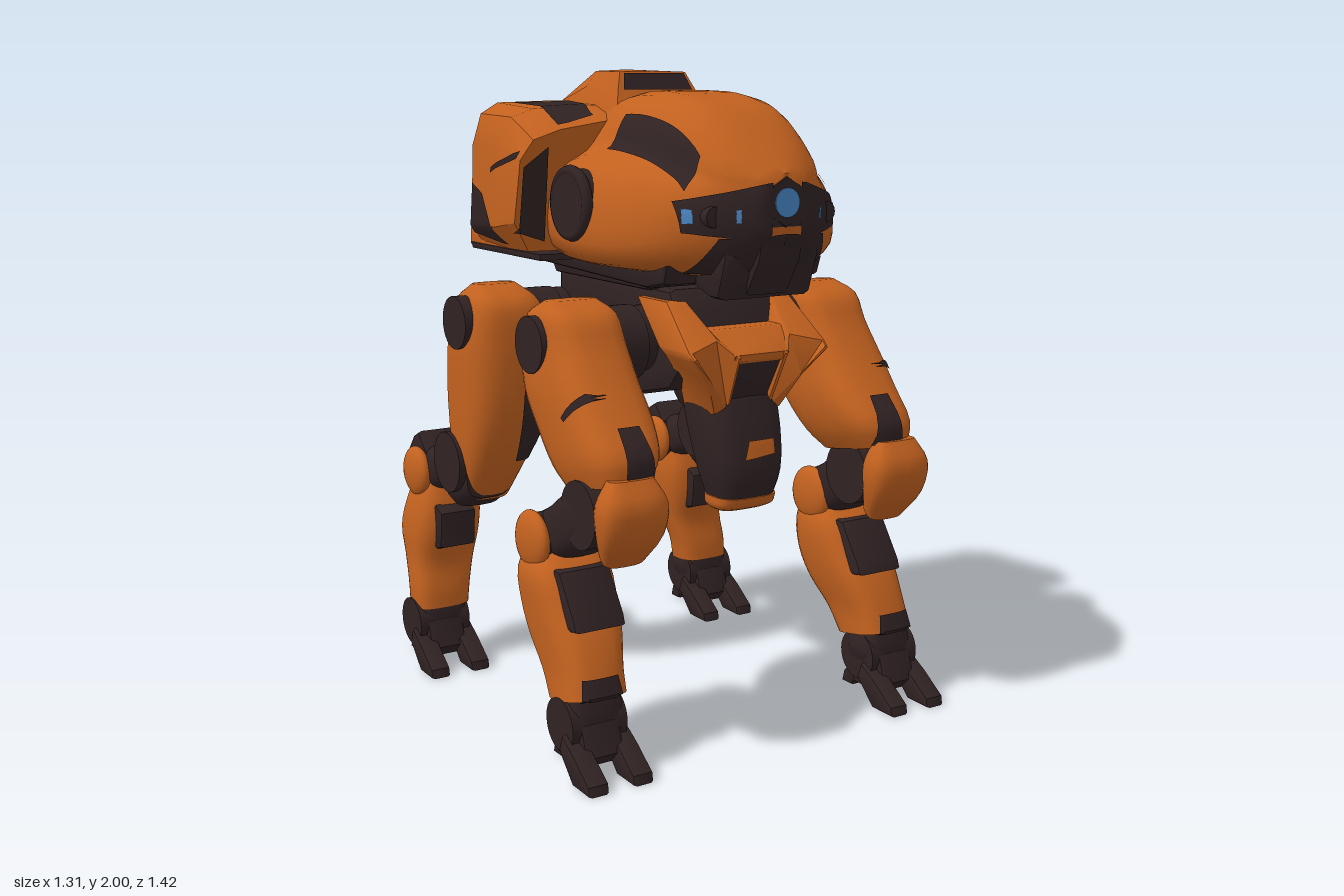
import * as THREE from 'three';
import { toCreasedNormals } from 'three/addons/utils/BufferGeometryUtils.js';

const V = (x, y, z) => new THREE.Vector3(x, y, z);
const paintOf = (name, color) => Object.assign(new THREE.MeshStandardMaterial({ color }), { name });

// Reverse the winding of a non-indexed geometry
function flip(g) {
  for (const a of Object.values(g.attributes)) {
    for (let i = 0; i < a.count; i += 3) {
      const t = [a.getX(i + 1), a.getY(i + 1), a.getZ(i + 1)];
      a.setXYZ(i + 1, a.getX(i + 2), a.getY(i + 2), a.getZ(i + 2));
      a.setXYZ(i + 2, ...t);
    }
  }
  return g;
}

const refine = (pts, k, closed) => {
  const out = new THREE.CatmullRomCurve3(pts, closed).getPoints((pts.length - (closed ? 0 : 1)) * k);
  if (closed) out.pop();
  return out;
};

// Closed skin over cross-section rings; kr and kl smooth around and along it
function loft(rings, kr, kl, crease) {
  if (kr > 1) rings = rings.map(r => refine(r, kr, true));
  if (kl > 1) {
    const cols = rings[0].map((_, j) => refine(rings.map(r => r[j]), kl, false));
    rings = cols[0].map((_, i) => cols.map(c => c[i]));
  }
  const n = rings[0].length, tri = [];
  for (let i = 0; i < rings.length - 1; i++) {
    for (let j = 0; j < n; j++) {
      const q = (j + 1) % n, A = rings[i], B = rings[i + 1];
      if (j < n / 2) tri.push(A[j], A[q], B[j], A[q], B[q], B[j]);
      else tri.push(A[j], A[q], B[q], A[j], B[q], B[j]);
    }
  }
  [rings[0], rings[rings.length - 1]].forEach((r, e) => {
    const c = r.reduce((s, p) => s.add(p), V(0, 0, 0)).divideScalar(n);
    r.forEach((p, j) => e ? tri.push(c, p, r[(j + 1) % n]) : tri.push(c, r[(j + 1) % n], p));
  });
  let vol = 0;
  for (let i = 0; i < tri.length; i += 3) vol += tri[i].dot(V(0, 0, 0).crossVectors(tri[i + 1], tri[i + 2]));
  const g = new THREE.BufferGeometry().setFromPoints(tri);
  if (vol < 0) flip(g);
  return toCreasedNormals(g, crease);
}

// Rounded limb; rows are front z, front y, back z, back y, centre x, half width
const limb = rows => loft(rows.map(([fz, fy, bz, by, cx, hw]) => Array.from({ length: 28 }, (_, i) => {
  const t = i / 28 * Math.PI * 2, e = v => Math.sign(v) * Math.abs(v) ** 0.62;
  const u = e(Math.cos(t)), w = e(Math.sin(t));
  return V(cx + hw * w, (fy + by) / 2 + u * (fy - by) / 2, (fz + bz) / 2 + u * (fz - bz) / 2);
})), 1, 3, 0.8);

// Mirrored half profiles stacked along z; shear leans a section with height
const hull = (sections, kr, kl, crease) => loft(sections.map(([z, shear, pts]) => {
  const p = pts.map(([x, y]) => V(x, y, z + shear * (y - 1.77)));
  return [...p, ...p.slice(1, -1).reverse().map(v => V(-v.x, v.y, v.z))];
}), kr, kl, crease);

const extrude = (pts, depth, b) => {
  const g = new THREE.ExtrudeGeometry(new THREE.Shape(pts.map(p => new THREE.Vector2(...p))), {
    depth: depth - 2 * b, bevelThickness: b, bevelSize: b, bevelOffset: -b, bevelSegments: 2 });
  g.translate(0, 0, b).deleteAttribute('uv');
  return g;
};
// Side outline in (z, y), spanning x0 to x1
const slab = (pts, x0, x1, b = 0.015) =>
  toCreasedNormals(extrude(pts, x1 - x0, b).rotateY(-Math.PI / 2).translate(x1, 0, 0), 0.6);
// Round part along x
const barrel = (x0, x1, y, z, r) =>
  new THREE.CylinderGeometry(r, r, x1 - x0, 28).rotateZ(Math.PI / 2).translate((x0 + x1) / 2, y, z);

export function createModel() {
  const orange = paintOf('orange armour', 0xc2611f), dark = paintOf('dark metal', 0x302223);
  const blue = paintOf('blue lens', 0x4a86c4), silver = paintOf('silver plate', 0xe2e2e2);
  const model = new THREE.Group(), left = new THREE.Group();
  model.name = 'walker';
  left.name = 'leftSide';
  let into = model;
  const add = (name, geo, mat) => {
    const m = new THREE.Mesh(geo, mat);
    m.name = name;
    into.add(m);
    return m;
  };

  // Thin painted plate: a four-cornered patch laid onto a part along an axis
  const ray = new THREE.Raycaster();
  const paint = (name, target, mat, axis, sign, c, off = 0.006) => {
    const dir = V(0, 0, 0), N = 14, grid = [], tri = [];
    dir[axis] = sign;
    const q = c.map(([a, b]) => axis === 'x' ? V(0, b, a) : axis === 'y' ? V(a, 0, b) : V(a, b, 0));
    for (let i = 0; i <= N; i++) for (let j = 0; j <= N; j++) {
      const o = q[0].clone().lerp(q[1], i / N).lerp(q[3].clone().lerp(q[2], i / N), j / N);
      o[axis] = 4 * sign;
      ray.set(o, dir.clone().negate());
      const hit = ray.intersectObject(target)[0];
      grid.push(hit ? hit.point.clone().addScaledVector(hit.face.normal, off) : null);
    }
    for (let i = 0; i < N; i++) for (let j = 0; j < N; j++) {
      const a = i * (N + 1) + j, f = [grid[a], grid[a + N + 1], grid[a + N + 2], grid[a + 1]];
      if (f.every(Boolean)) tri.push(f[0], f[1], f[2], f[0], f[2], f[3]);
    }
    const g = new THREE.BufferGeometry().setFromPoints(tri);
    const up = V(0, 0, 0).crossVectors(q[1].clone().sub(q[0]), q[2].clone().sub(q[0]));
    if (up.dot(dir) < 0) flip(g);
    add(name, toCreasedNormals(g, 0.6), mat);
  };

  // Head shell: a raised dome between two cheeks
  const head = add('headShell', hull([
    [0.705, 0, [[0, 1.71], [.03, 1.705], [.06, 1.69], [.07, 1.67], [.08, 1.64], [.08, 1.6], [.07, 1.56], [.05, 1.54], [0, 1.53]]],
    [0.62, 0, [[0, 1.79], [.1, 1.775], [.165, 1.72], [.175, 1.69], [.19, 1.66], [.21, 1.6], [.2, 1.52], [.13, 1.44], [0, 1.42]]],
    [0.5, 0, [[0, 1.88], [.13, 1.865], [.2, 1.79], [.225, 1.72], [.28, 1.67], [.32, 1.59], [.32, 1.48], [.22, 1.42], [0, 1.41]]],
    [0.36, 0, [[0, 1.92], [.145, 1.91], [.215, 1.83], [.25, 1.75], [.34, 1.7], [.39, 1.59], [.385, 1.46], [.28, 1.42], [0, 1.41]]],
    [0.15, 0, [[0, 1.935], [.15, 1.92], [.225, 1.84], [.265, 1.77], [.36, 1.72], [.405, 1.6], [.395, 1.46], [.3, 1.42], [0, 1.41]]],
    [-0.05, 0, [[0, 1.9], [.14, 1.88], [.2, 1.8], [.26, 1.74], [.33, 1.69], [.37, 1.6], [.35, 1.47], [.26, 1.42], [0, 1.41]]],
  ], 3, 4, 0.8), orange);
  add('snout', slab([[.66, 1.69], [.7, 1.675], [.71, 1.58], [.68, 1.46], [.62, 1.36], [.5, 1.38], [.5, 1.66]], -.075, .075), dark);
  add('chin', slab([[.63, 1.55], [.65, 1.47], [.61, 1.35], [.56, 1.35], [.44, 1.39], [.44, 1.55]], -.17, .17, .03), dark);
  add('jaw', slab([[.52, 1.45], [.5, 1.39], [.4, 1.37], [-.3, 1.39], [-.36, 1.44]], -.28, .28, .02), dark);
  add('lensRing', new THREE.CylinderGeometry(.07, .085, .04, 6).rotateX(Math.PI / 2).translate(0, 1.63, .69), dark);
  add('lens', new THREE.CylinderGeometry(.042, .042, .01, 20).rotateX(Math.PI / 2).translate(0, 1.628, .709), blue);

  // Back pack with a tapering ridge
  const rear = [-0.42, 0.03, [[0, 1.9], [.15, 1.9], [.34, 1.895], [.4, 1.86], [.43, 1.76], [.435, 1.5], [.4, 1.45], [0, 1.43]]];
  const pack = add('packShell', hull([
    [0.04, 0.18, [[0, 1.86], [.16, 1.85], [.36, 1.82], [.45, 1.79], [.49, 1.73], [.495, 1.54], [.44, 1.45], [0, 1.44]]],
    [-0.1, 0.1, [[0, 1.89], [.15, 1.89], [.38, 1.88], [.455, 1.855], [.495, 1.77], [.5, 1.52], [.45, 1.45], [0, 1.43]]],
    rear], 1, 1, 0.5), orange);
  const packBack = add('packBack', hull([rear,
    [-0.49, 0.04, [[0, 1.88], [.15, 1.88], [.31, 1.87], [.36, 1.83], [.385, 1.75], [.39, 1.5], [.36, 1.45], [0, 1.43]]],
  ], 1, 1, 0.4), dark);
  const ridge = add('packRidge', hull([
    [0.105, -0.5, [[0, 1.995], [.12, 1.992], [.145, 1.93], [.17, 1.86], [0, 1.82]]],
    [-0.17, 0, [[0, 2], [.11, 1.995], [.14, 1.95], [.16, 1.88], [0, 1.82]]],
    [-0.47, 0, [[0, 1.9], [.07, 1.9], [.09, 1.89], [.14, 1.86], [0, 1.82]]],
  ], 1, 1, 0.7), orange);
  paint('ridgeVent', ridge, dark, 'z', 1, [[-.125, 1.935], [.125, 1.935], [.11, 1.985], [-.11, 1.985]]);
  add('packSkirt', slab([[-.2, 1.46], [-.505, 1.49], [-.51, 1.43], [-.2, 1.435]], -.405, .405, .008), orange);
  add('packFloor', slab([[0, 1.44], [-.49, 1.44], [-.48, 1.42], [0, 1.42]], -.41, .41, .005), dark);
  paint('rearPlate', packBack, silver, 'z', -1, [[-.085, 1.61], [.085, 1.61], [.085, 1.878], [-.085, 1.878]]);

  // Waist, chest and belly
  add('waist', slab([[.44, 1.4], [.3, 1.35], [-.26, 1.35], [-.3, 1.41]], -.22, .22), dark);
  add('pelvis', slab([[.4, 1.36], [-.28, 1.37], [-.28, 1.24], [-.13, 1.14], [-.12, 1.0], [.14, 1.0], [.4, 1.06], [.48, 1.15], [.44, 1.3]], -.2, .2, .03), dark);
  // Front outline in (x, y), breaking forward at the middle of the chest
  const chest = (pts, z0, z1, b) => {
    const g = extrude(pts, z1 - z0, b).translate(0, 0, z0), p = g.attributes.position;
    for (let i = 0; i < p.count; i++) {
      const h = p.getY(i) - 1.18;
      p.setZ(i, p.getZ(i) + (h > 0 ? -1.25 * h : 0.45 * h));
    }
    return toCreasedNormals(g, 0.6);
  };
  add('chestBridge', chest([[-.13, 1.25], [.13, 1.25], [.1, 1.18], [.09, 1.155], [-.09, 1.155], [-.1, 1.18]], .44, .605, .01), orange);
  add('chestWindow', chest([[-.08, 1.18], [.08, 1.18], [.06, .99], [-.06, .99]], .44, .6, .01), dark);
  const belly = add('belly', limb([[.53, 1.08, .3, 1.08, 0, .13], [.57, .95, .34, .95, 0, .13], [.59, .82, .38, .82, 0, .115],
    [.56, .72, .42, .72, 0, .09]]), dark);
  add('bellyRim', limb([[.575, .745, .41, .745, 0, .102], [.56, .715, .42, .715, 0, .1], [.53, .7, .44, .7, 0, .08]]), orange);
  paint('bellyMark', belly, orange, 'z', 1, [[-.05, .865], [.06, .875], [.06, .92], [-.03, .92]]);

  // Everything below is made for the left side and mirrored afterwards
  into = left;
  paint('browBand', head, dark, 'y', 1, [[.21, .19], [.28, .19], [.245, .56], [.19, .56]]);
  paint('eyeSocket', head, dark, 'z', 1, [[.05, 1.52], [.265, 1.545], [.275, 1.63], [.05, 1.685]]);
  paint('eyeGlowOuter', head, blue, 'z', 1, [[.24, 1.57], [.262, 1.57], [.262, 1.61], [.24, 1.61]], .0095);
  paint('eyeGlowInner', head, blue, 'z', 1, [[.13, 1.575], [.143, 1.575], [.143, 1.61], [.13, 1.61]], .0095);
  add('eye', new THREE.CylinderGeometry(.03, .035, .04, 16).rotateX(Math.PI / 2).translate(.195, 1.59, .62), dark);
  paint('lowerFace', head, dark, 'z', 1, [[0, 1.42], [.23, 1.43], [.18, 1.53], [0, 1.54]]);
  add('earDisc', barrel(.34, .425, 1.61, .2, .1), dark);
  add('earRing', new THREE.TorusGeometry(.095, .018, 8, 32).rotateY(Math.PI / 2).translate(.41, 1.61, .2), dark);
  paint('packTopPanel', pack, dark, 'y', 1, [[.155, -.27], [.34, -.32], [.36, .03], [.22, .0]]);
  paint('packSidePanel', pack, dark, 'x', 1, [[-.27, 1.615], [-.4, 1.64], [-.424, 1.48], [-.1, 1.47]]);
  paint('packSideGroove', pack, dark, 'x', 1, [[.02, 1.755], [-.17, 1.7], [-.17, 1.685], [.02, 1.735]]);
  paint('packVent', pack, dark, 'z', 1, [[.39, 1.48], [.48, 1.51], [.48, 1.71], [.4, 1.77]]);
  add('chestPlate', chest([[.15, 1.33], [.22, 1.33], [.245, 1.2], [.24, 1.18], [.17, 1.1], [.12, 1.0], [.065, 1.0], [.075, 1.18], [.12, 1.23]],
    .44, .61, .012), orange);

  // Dark foot with two front toes and a heel claw
  const foot = z => {
    const at = pts => pts.map(([a, b]) => [a + z, b]);
    add('ankle', barrel(.455, .635, .145, z - .01, .08), dark);
    add('ankleCollar', limb([[z + .06, .24, z - .06, .23, .54, .08], [z + .07, .17, z - .08, .17, .54, .095], [z + .06, .1, z - .06, .1, .545, .08]]), dark);
    add('instep', slab(at([[.07, .16], [.1, .07], [.06, .03], [-.06, .03], [-.09, .1], [-.05, .15]]), .48, .61), dark);
    for (const x of [.437, .583])
      add('toe', slab(at([[.19, 0], [.185, .03], [.1, .09], [.03, .13], [.01, .08], [.09, 0]]), x, x + .07, .012), dark);
    add('heel', slab(at([[0, .13], [-.07, .12], [-.14, .04], [-.15, 0], [-.1, 0], [-.05, .06], [.02, .07]]), .505, .585, .012), dark);
  };
  const hip = z => {
    add('hipAxle', barrel(.1, .42, 1.2, z, .1), dark);
    add('hipCollar', barrel(.24, .35, 1.19, z, .115), dark);
    add('hipCap', barrel(.48, .584, 1.21, z, .085), dark);
  };
  const hock = (y, z, r, x0, x1) => {
    add('hockBarrel', barrel(x0 + .02, x1 - .02, y, z, r * .88), dark);
    for (const x of [x0 + .035, x1 - .035])
      add('hockDome', new THREE.SphereGeometry(r, 24, 16).scale(.035 / r, 1, 1).translate(x, y, z), orange);
  };

  // Front leg
  hip(.25);
  const thigh = add('frontThigh', limb([[.28, 1.335, .22, 1.335, .445, .08], [.38, 1.3, .14, 1.29, .445, .115], [.43, 1.22, .11, 1.2, .445, .125],
    [.5, 1.12, .14, 1.07, .45, .135], [.58, 1.02, .22, .96, .45, .135], [.65, .93, .31, .86, .46, .12], [.65, .86, .37, .81, .47, .09]]), orange);
  paint('thighPatch', thigh, dark, 'z', 1, [[.395, .87], [.495, .87], [.485, 1.01], [.415, 1.01]]);
  paint('thighSlot', thigh, dark, 'x', 1, [[.53, 1.09], [.5, 1.1], [.45, 1.03], [.465, 1.02]]);
  add('frontKnee', barrel(.385, .575, .76, .52, .1), dark);
  add('kneeCap', limb([[.67, .88, .61, .88, .475, .07], [.71, .81, .59, .81, .475, .105], [.69, .71, .59, .73, .475, .1], [.62, .62, .57, .67, .475, .07]]), orange);
  add('frontLink', limb([[.6, .83, .58, .69, .485, .08], [.45, .83, .48, .64, .49, .09], [.33, .75, .38, .59, .5, .09], [.25, .71, .28, .59, .5, .085]]), dark);
  hock(.64, .3, .09, .385, .64);
  const shin = add('frontShin', limb([[.38, .62, .22, .62, .51, .09], [.44, .56, .21, .55, .515, .125], [.49, .47, .22, .45, .515, .125],
    [.54, .39, .26, .36, .52, .115], [.58, .3, .34, .27, .53, .1], [.6, .235, .4, .195, .535, .1]]), orange);
  add('shinGuard', slab([[.38, .58], [.45, .575], [.535, .45], [.545, .42], [.42, .4]], .43, .6, .012), dark);
  paint('shinNotch', shin, dark, 'z', 1, [[.475, .23], [.605, .23], [.595, .29], [.485, .29]]);
  paint('shinStripe', shin, dark, 'z', -1, [[.495, .57], [.525, .57], [.55, .25], [.52, .25]]);
  foot(.52);

  // Hind leg
  hip(-.26);
  const haunch = add('hindThigh', limb([[-.22, 1.33, -.29, 1.33, .445, .07], [-.13, 1.28, -.37, 1.28, .435, .115], [-.11, 1.18, -.41, 1.17, .425, .145],
    [-.11, 1.02, -.425, 1.02, .42, .155], [-.13, .88, -.41, .9, .435, .14], [-.18, .74, -.38, .81, .46, .11], [-.25, .62, -.34, .73, .47, .08]]), orange);
  paint('innerThighPanel', haunch, dark, 'x', -1, [[-.12, 1.2], [-.39, 1.2], [-.38, .86], [-.17, .8]]);
  paint('innerFrontPanel', haunch, dark, 'z', 1, [[.275, 1.2], [.41, 1.2], [.42, .76], [.345, .76]]);
  add('hindKnee', barrel(.375, .585, .74, -.34, .1), dark);
  add('hindLink', limb([[-.24, .79, -.24, .63, .48, .08], [-.34, .83, -.34, .58, .48, .1], [-.43, .77, -.42, .63, .48, .1],
    [-.55, .75, -.52, .6, .48, .095], [-.66, .73, -.65, .62, .48, .085]]), dark);
  add('hockGuard', slab([[-.55, .73], [-.61, .79], [-.65, .77], [-.71, .7], [-.68, .63], [-.56, .63]], .38, .57), dark);
  hock(.66, -.585, .085, .335, .62);
  const calf = add('hindShin', limb([[-.5, .65, -.66, .64, .485, .09], [-.47, .55, -.69, .54, .495, .115], [-.47, .45, -.7, .46, .505, .12],
    [-.49, .35, -.66, .37, .515, .11], [-.475, .26, -.62, .28, .53, .1], [-.47, .2, -.61, .195, .535, .095]]), orange);
  paint('calfStripe', calf, dark, 'z', -1, [[.475, .59], [.51, .59], [.55, .24], [.52, .24]]);
  add('hindShinGuard', slab([[-.5, .57], [-.43, .54], [-.44, .42], [-.5, .4]], .44, .57, .012), dark);
  foot(-.54);

  // Mirror to the right side
  const right = new THREE.Group();
  right.name = 'rightSide';
  for (const m of left.children) {
    const g = m.geometry.index ? m.geometry.toNonIndexed() : m.geometry.clone();
    g.deleteAttribute('uv');
    const c = new THREE.Mesh(flip(g.scale(-1, 1, 1)), m.material);
    c.name = m.name;
    right.add(c);
  }
  model.add(left, right);
  return model;
}
